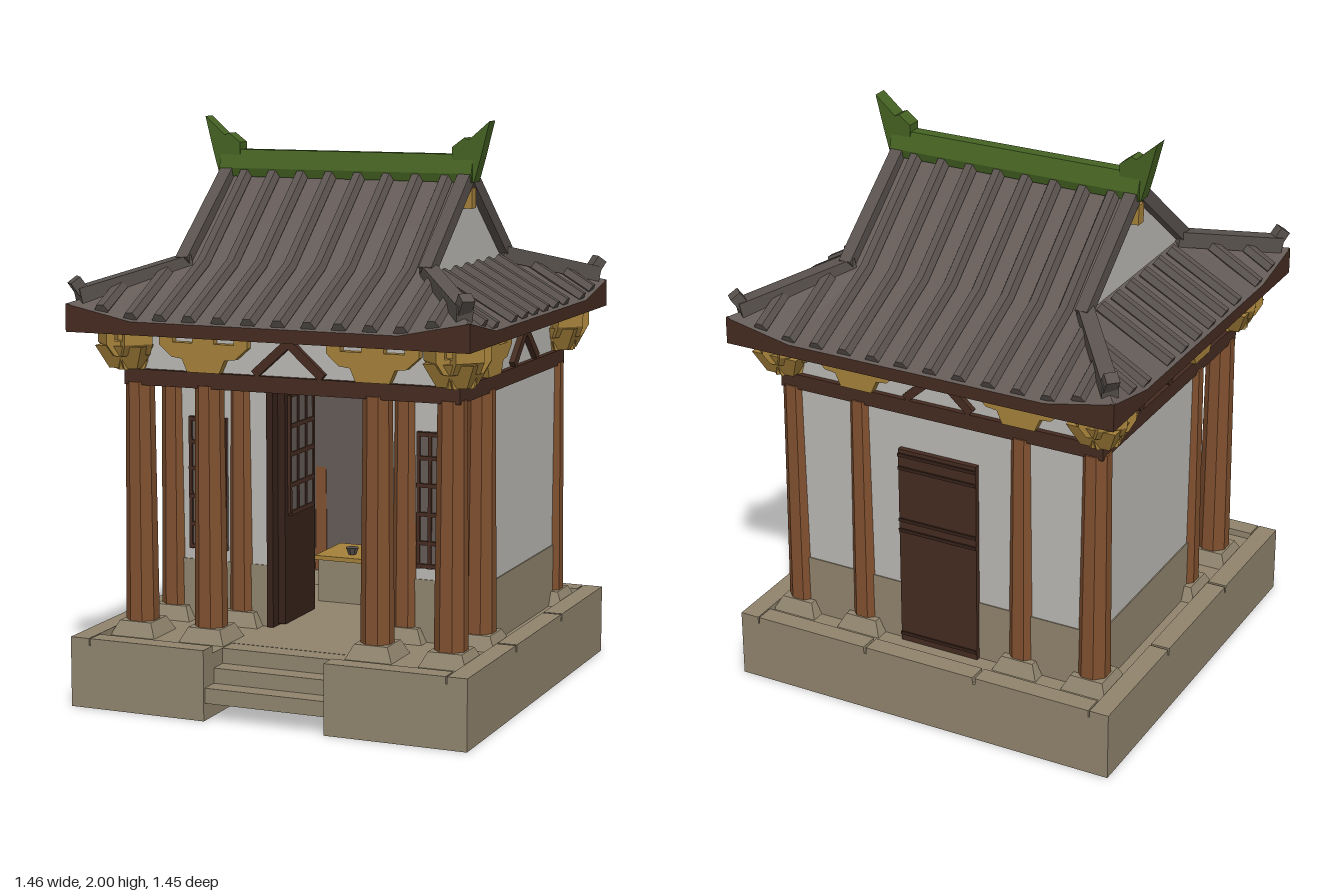
import * as THREE from 'three';

const mat = (name, color, side = THREE.FrontSide) => {
  const m = new THREE.MeshStandardMaterial({ color, side, flatShading: true });
  m.name = name;
  return m;
};

export function createModel() {
  const root = new THREE.Group();
  root.name = 'pavilion';
  const stone = mat('stone', 0x90846d);
  const plaster = mat('plaster', 0xbbb9b4);
  const post = mat('columnWood', 0x80502f);
  const dark = mat('darkWood', 0x452b20);
  const door = mat('doorWood', 0x36221a);
  const gold = mat('gold', 0xa5813a);
  const tile = mat('roofTile', 0x645b57, THREE.DoubleSide);
  const trim = mat('roofTrim', 0x59524e);
  const green = mat('greenGlaze', 0x456222);

  const add = (name, geo, m, x = 0, y = 0, z = 0) => {
    const mesh = new THREE.Mesh(geo, m);
    mesh.name = name;
    mesh.position.set(x, y, z);
    root.add(mesh);
    return mesh;
  };
  // Box given by its lower and upper limits
  const box = (name, m, x0, x1, y0, y1, z0, z1) =>
    add(name, new THREE.BoxGeometry(x1 - x0, y1 - y0, z1 - z0), m, (x0 + x1) / 2, (y0 + y1) / 2, (z0 + z1) / 2);
  // Geometry lying along z, stretched from a to b
  const span = (name, m, a, b, make) => {
    const A = new THREE.Vector3(...a), B = new THREE.Vector3(...b);
    const mesh = add(name, make(A.distanceTo(B)), m);
    mesh.position.copy(A).lerp(B, 0.5);
    mesh.lookAt(B);
    return mesh;
  };
  const beam = (name, m, a, b, w, h) => span(name, m, a, b, (l) => new THREE.BoxGeometry(w, h, l));
  const rib = (a, b) => span('tileRib', trim, a, b, (l) =>
    new THREE.CylinderGeometry(0.026, 0.026, l, 6).rotateY(Math.PI / 6).rotateX(Math.PI / 2));
  // Outline extruded evenly about z = 0
  const plate = (pts, depth) => new THREE.ExtrudeGeometry(
    new THREE.Shape(pts.map((p) => new THREE.Vector2(...p))), { depth, bevelEnabled: false }).translate(0, 0, -depth / 2);
  // Open surface lofted through rows of points
  const sheet = (name, m, rows) => {
    const pos = [];
    for (let i = 0; i + 1 < rows.length; i++)
      for (let j = 0; j + 1 < rows[i].length; j++) {
        const [a, b, c, d] = [rows[i][j], rows[i][j + 1], rows[i + 1][j + 1], rows[i + 1][j]];
        pos.push(...a, ...b, ...c, ...a, ...c, ...d);
      }
    const g = new THREE.BufferGeometry();
    g.setAttribute('position', new THREE.Float32BufferAttribute(pos, 3));
    g.computeVertexNormals();
    return add(name, g, m);
  };

  // Platform with a notch for the stairs
  const E = 0.725, S = 0.22;
  add('platform', plate([[-E, -E], [-S, -E], [-S, -0.5], [S, -0.5], [S, -E], [E, -E], [E, E], [-E, E]], 0.22)
    .rotateX(-Math.PI / 2), stone, 0, 0.11, 0);
  [0.715, 0.645, 0.575].forEach((z, i) => box('step', stone, -S, S, 0.06 + i * 0.053, 0.113 + i * 0.053, 0.48, z));
  // Border stones with narrow joints
  for (const s of [-1, 1]) {
    for (const [a, b] of [[-E, -0.25], [-0.24, 0.24], [0.25, E]])
      box('borderStone', stone, s * 0.69 - 0.035, s * 0.69 + 0.035, 0.21, 0.245, a, b);
    box('frontBorderStone', stone, s > 0 ? S : -0.65, s > 0 ? 0.65 : -S, 0.21, 0.245, 0.655, E);
  }
  for (const [a, b] of [[-0.65, -0.22], [-0.21, 0.21], [0.22, 0.65]])
    box('backBorderStone', stone, a, b, 0.21, 0.245, -E, -0.655);

  // Columns on tapered plinths
  const ZF = 0.475, ZM = 0.2, ZB = -0.53, X = 0.575;
  for (const z of [ZF, ZM, ZB])
    for (const x of [-X, -0.31, 0.31, X]) {
      add('column', new THREE.CylinderGeometry(0.05, 0.058, 0.86, 8).rotateY(Math.PI / 8), post, x, 0.68, z);
      add('plinth', new THREE.CylinderGeometry(0.085, 0.12, 0.05, 4).rotateY(Math.PI / 4), stone, x, 0.245, z);
    }

  // Plaster walls over a stone dado
  const wall = (x0, x1, z0, z1) => {
    box('wall', plaster, x0, x1, 0.44, 1.11, z0, z1);
    box('dado', stone, x0 - 0.004, x1 + 0.004, 0.22, 0.44, z0 - 0.004, z1 + 0.004);
  };
  wall(-X, X, ZB - 0.03, ZB + 0.03);
  for (const s of [-1, 1]) {
    wall(s * X - 0.03, s * X + 0.03, ZB, ZM);
    wall(s > 0 ? 0.2 : -X, s > 0 ? X : -0.2, ZM - 0.03, ZM + 0.03);
  }

  // Ring beams and the plaster frieze
  for (const z of [ZF, ZB]) {
    box('beam', dark, -0.615, 0.615, 1.1, 1.155, z - 0.04, z + 0.04);
    box('frieze', plaster, -X, X, 1.155, 1.3, z - 0.02, z + 0.02);
  }
  for (const s of [-1, 1]) {
    box('sideBeam', dark, s * X - 0.04, s * X + 0.04, 1.1, 1.155, ZB, ZF);
    box('sideFrieze', plaster, s * X - 0.02, s * X + 0.02, 1.155, 1.3, ZB, ZF);
  }
  box('lintel', dark, -0.6, 0.6, 1.1, 1.155, ZM - 0.04, ZM + 0.04);

  // Eave brackets
  const half = [[0.06, 0], [0.08, 0.045], [0.12, 0.05], [0.165, 0.09], [0.165, 0.145], [0.115, 0.145],
    [0.115, 0.1], [0.04, 0.1], [0.04, 0.145]];
  const tray = [...half, ...half.map(([x, y]) => [-x, y]).reverse()];
  const bracket = (x, z, turn = 0, k = 1) => {
    const b = add('bracket', plate(tray, 0.1), gold, x, 1.156, z);
    b.rotation.y = turn;
    b.scale.x = k;
  };
  for (const s of [-1, 1]) {
    bracket(s * 0.31, ZF);
    bracket(s * 0.31, ZB);
    bracket(s * X, ZM, Math.PI / 2);
    for (const z of [0.5, -0.545]) {
      bracket(s * 0.6, z, Math.PI / 4, 0.6);
      bracket(s * 0.6, z, -Math.PI / 4, 0.6);
      add('cornerBlock', new THREE.CylinderGeometry(0.125, 0.075, 0.08, 4).rotateY(Math.PI / 4), gold, s * 0.6, 1.2, z);
    }
    // Inverted-V struts
    for (const z of [ZF, ZB]) beam('strut', dark, [s * 0.125, 1.16, z], [0, 1.272, z], 0.08, 0.03);
    for (const t of [-1, 1]) beam('sideStrut', dark, [s * X, 1.16, -0.158 + t * 0.125], [s * X, 1.272, -0.158], 0.08, 0.03);
  }

  // Lattice windows, open door leaves
  for (const s of [-1, 1]) {
    const cx = s * 0.432, zf = ZM + 0.03;
    box('windowPane', tile, cx - 0.073, cx + 0.073, 0.48, 0.955, zf, zf + 0.008);
    for (const y of [0.49, 0.57, 0.67, 0.77, 0.865, 0.947]) box('windowBar', dark, cx - 0.073, cx + 0.073, y - 0.007, y + 0.007, zf, zf + 0.018);
    for (const d of [-0.067, -0.025, 0.025, 0.067]) box('windowMullion', dark, cx + d - 0.006, cx + d + 0.006, 0.48, 0.955, zf, zf + 0.016);
    box('doorPost', door, s * 0.192 - 0.012, s * 0.192 + 0.012, 0.22, 1.1, ZM - 0.05, ZM + 0.045);
    box('doorLeaf', door, s * 0.167 - 0.014, s * 0.167 + 0.014, 0.225, 1.1, -0.06, ZM);
    const lx = s * 0.15;
    box('doorPane', tile, lx - 0.004, lx + 0.004, 0.62, 1.04, -0.03, 0.17);
    for (const y of [0.62, 0.72, 0.83, 0.93, 1.04]) box('doorBar', dark, lx - 0.009, lx + 0.009, y - 0.008, y + 0.008, -0.03, 0.17);
    for (const z of [-0.03, 0.035, 0.105, 0.17]) box('doorMullion', dark, lx - 0.008, lx + 0.008, 0.62, 1.04, z - 0.007, z + 0.007);
  }
  // Back door
  box('backDoor', dark, -0.15, 0.15, 0.22, 0.97, ZB - 0.05, ZB - 0.03);
  for (const y of [0.25, 0.66, 0.7, 0.9, 0.95]) box('backDoorRail', door, -0.15, 0.15, y - 0.006, y + 0.006, ZB - 0.056, ZB - 0.05);

  // Interior screen and altar
  box('screen', tile, -0.5, 0.5, 0.22, 1.1, -0.49, -0.48);
  box('altar', stone, -0.2, 0.2, 0.22, 0.376, -0.42, -0.2);
  box('altarTop', gold, -0.21, 0.21, 0.376, 0.392, -0.43, -0.19);
  box('tabletBase', gold, -0.045, 0.045, 0.392, 0.425, -0.34, -0.27);
  box('tablet', post, -0.03, 0.03, 0.425, 0.57, -0.32, -0.29);
  for (const x of [-0.09, 0.09]) add('bowl', new THREE.CylinderGeometry(0.025, 0.015, 0.025, 8), trim, x, 0.405, -0.26);

  // Eaves: slab plus fascias rising at the corners
  const K = 0.48, Y0 = 1.345, YC = 1.395, GX = 0.43, GZ = 0.38, YG = 1.505;
  box('eaveSlab', dark, -E, E, 1.3, 1.34, -E, E);
  for (let i = 0; i < 4; i++) {
    const f = add('fascia', plate([[-E, 1.3], [E, 1.3], [E, YC], [K, Y0], [-K, Y0], [-E, YC]], 0.014)
      .translate(0, 0, E - 0.007), dark);
    f.rotation.y = i * Math.PI / 2;
  }
  // Hip skirts, main slopes, gables, ridges
  const eave = [[-E, YC], [-K, Y0], [K, Y0], [E, YC]];
  const lerp = THREE.MathUtils.lerp;
  const eaveY = (u) => Y0 + Math.max(0, (u - K) / (E - K)) * (YC - Y0);
  for (const s of [-1, 1]) {
    sheet('longSkirt', tile, [eave.map(([x, y]) => [s * x, y, s * E]), [-GX, -0.4, 0.4, GX].map((x) => [s * x, YG, s * GZ])]);
    sheet('sideSkirt', tile, [eave.map(([z, y]) => [s * E, y, -s * z]), [-GZ, -0.35, 0.35, GZ].map((z) => [s * GX, YG, -s * z])]);
    sheet('mainSlope', tile, [[GZ, YG], [0.2, 1.645], [0, 1.81]].map(([z, y]) => [[-s * 0.465, y, s * z], [s * 0.465, y, s * z]]));
    add('gable', plate([[-0.37, 1.5], [0.37, 1.5], [0, 1.795]], 0.02).rotateY(Math.PI / 2), plaster, s * GX, 0, 0);
    box('gablePendant', gold, s * 0.45 - 0.02, s * 0.45 + 0.02, 1.7, 1.77, -0.02, 0.02);
    for (const t of [-1, 1]) {
      beam('vergeRidge', trim, [s * 0.448, 1.515, t * 0.39], [s * 0.448, 1.805, t * 0.02], 0.045, 0.05);
      beam('hipRidge', trim, [s * 0.44, 1.515, t * 0.36], [s * 0.695, 1.42, t * 0.69], 0.055, 0.055);
      const tip = beam('hipTip', trim, [s * 0.68, 1.425, t * 0.675], [s * 0.705, 1.475, t * 0.7], 0.045, 0.04);
      tip.name = 'hipTip';
      for (const x of [0.054, 0.162, 0.27, 0.378]) {
        rib([t * x, Y0 + 0.008, s * 0.715], [t * x, YG + 0.006, s * GZ]);
        rib([t * x, YG + 0.006, s * GZ], [t * x, 1.812, s * 0.01]);
      }
      for (const x of [0.486, 0.594]) {
        const k = (x - GX) / (E - GX);
        rib([t * x, eaveY(x) + 0.008, s * 0.715], [t * x, lerp(YG, YC, k), s * lerp(GZ, E, k)]);
      }
      for (const z of [0.055, 0.165, 0.275]) rib([s * 0.715, Y0 + 0.008, t * z], [s * 0.455, YG - 0.005, t * z]);
      for (const z of [0.46, 0.57]) {
        const k = (z - GZ) / (E - GZ);
        rib([s * 0.715, eaveY(z) + 0.008, t * z], [s * lerp(GX, E, k), lerp(YG, YC, k), t * z]);
      }
    }
    // Upswept ridge horns
    add('ridgeHorn', plate([[0.4, 1.8], [0.48, 1.79], [0.505, 1.88], [0.535, 2.0], [0.46, 1.935], [0.443, 1.942],
      [0.4, 1.91]], 0.056), green).rotation.y = s > 0 ? 0 : Math.PI;
  }
  // Main ridge with a swollen section
  add('mainRidge', plate([[-0.035, 1.79], [0.035, 1.79], [0.043, 1.82], [0.022, 1.885], [-0.022, 1.885], [-0.043, 1.82]], 0.95)
    .rotateY(Math.PI / 2), green);
  return root;
}
